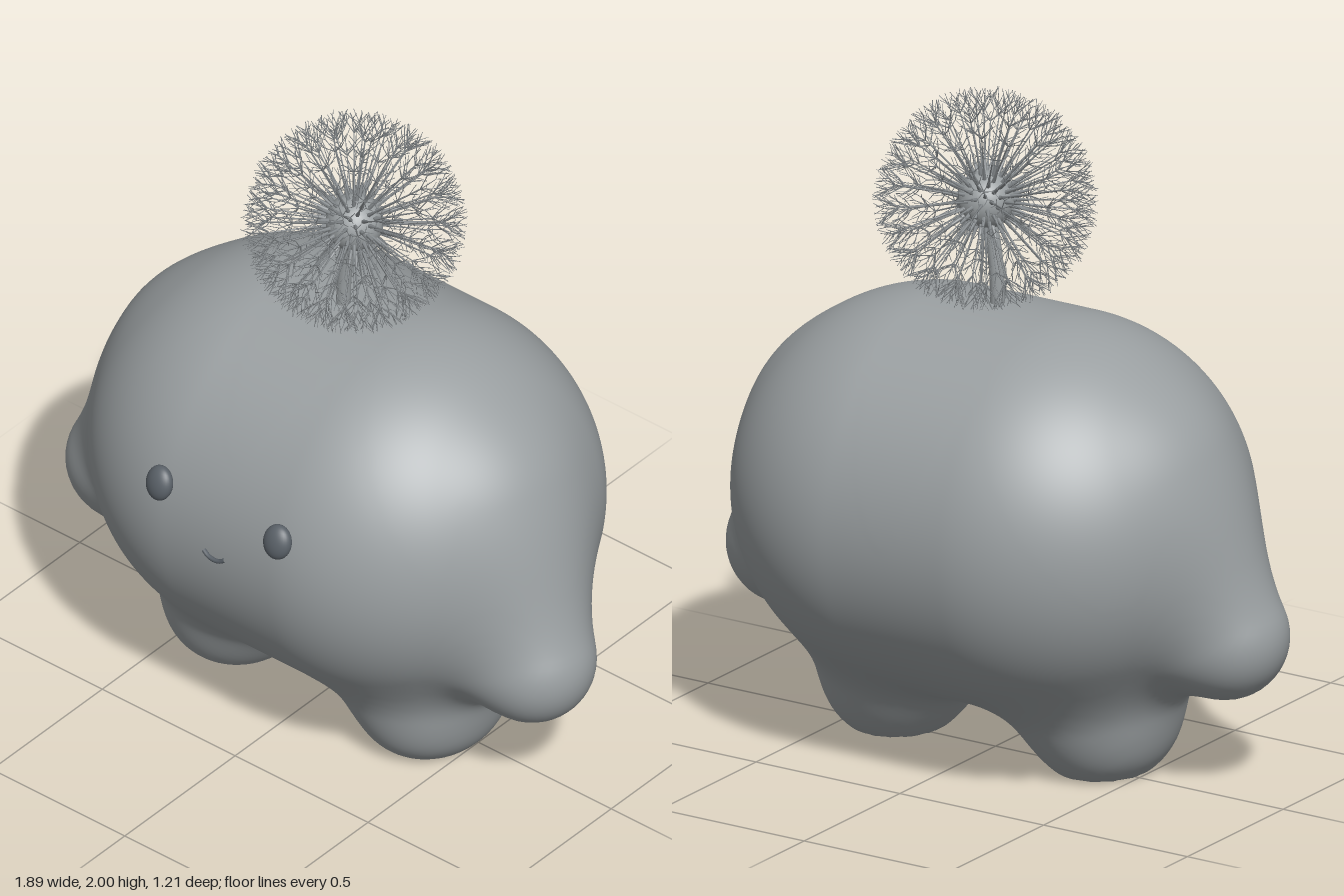
import * as THREE from 'three';
import { mergeGeometries, mergeVertices } from 'three/addons/utils/BufferGeometryUtils.js';

const V = (x, y, z) => new THREE.Vector3(x, y, z);
const bodyGrey = new THREE.MeshStandardMaterial({ name: 'body grey', color: 0x9a9fa1 });
const faceSlate = new THREE.MeshStandardMaterial({ name: 'face slate', color: 0x5a6168 });
const fluffGrey = new THREE.MeshStandardMaterial({ name: 'fluff grey', color: 0x8a8f92 });

function addMesh(parent, name, geometry, material) {
  const mesh = new THREE.Mesh(geometry, material);
  mesh.name = name;
  parent.add(mesh);
  return mesh;
}

// Distance to a capsule from a to b
function capsule(p, a, b, r) {
  const ab = b.clone().sub(a), ap = p.clone().sub(a);
  const t = THREE.MathUtils.clamp(ap.dot(ab) / ab.lengthSq(), 0, 1);
  return ap.addScaledVector(ab, -t).length() - r;
}

// Soft union of two distances
function blend(a, b, k) {
  const h = Math.max(k - Math.abs(a - b), 0) / k;
  return Math.min(a, b) - h * h * k / 4;
}

const torsoA = V(-0.2, 0.763, -0.008), torsoB = V(0.2, 0.763, -0.008);
const shoulder = V(0.53, 0.93, 0.0), hand = V(0.757, 0.467, 0.065);
const hip = V(0.31, 0.5, 0.01), foot = V(0.355, 0.175, 0.035);

// Torso, arms and legs melted together, cut flat at the soles
function bodyDistance(p) {
  const q = V(Math.abs(p.x), p.y, p.z);
  let d = capsule(p, torsoA, torsoB, 0.597);
  d = blend(d, capsule(q, shoulder, hand, 0.187), 0.16);
  const legPoint = V(q.x, q.y, foot.z + (q.z - foot.z) / 1.14);
  d = blend(d, capsule(legPoint, hip, foot, 0.222), 0.16);
  return Math.max(d, -p.y);
}

// Shrink a sphere onto the body along rays from its centre
function bodyGeometry() {
  let geo = new THREE.IcosahedronGeometry(1, 48);
  geo.deleteAttribute('uv');
  geo.deleteAttribute('normal');
  geo = mergeVertices(geo, 1e-5);
  const pos = geo.attributes.position, centre = V(0, 0.62, 0.03);
  const dir = V(0, 0, 0), p = V(0, 0, 0);
  for (let i = 0; i < pos.count; i++) {
    dir.fromBufferAttribute(pos, i).normalize();
    let r = 1.3;
    for (let s = 0; s < 90; s++) {
      const d = bodyDistance(p.copy(centre).addScaledVector(dir, r));
      if (d < 0.0003) break;
      r -= d * 0.8;
    }
    p.copy(centre).addScaledVector(dir, r);
    pos.setXYZ(i, p.x, Math.max(p.y, 0), p.z);
  }
  geo.computeVertexNormals();
  return geo;
}

// Thin tapered rod between two points
function rod(a, b, ra, rb, sides = 3) {
  const dir = b.clone().sub(a), len = dir.length();
  const geo = new THREE.CylinderGeometry(rb, ra, len, sides, 1, true);
  geo.applyQuaternion(new THREE.Quaternion().setFromUnitVectors(V(0, 1, 0), dir.divideScalar(len)));
  const mid = a.clone().add(b).multiplyScalar(0.5);
  return geo.translate(mid.x, mid.y, mid.z);
}

// Seed head: stalks on a ball, each ending in a forked tuft
function seedHead() {
  let seed = 7;
  const rand = () => (seed = (seed * 16807) % 2147483647) / 2147483647;
  const stalks = [], tufts = [], count = 140, branches = 6;
  for (let i = 0; i < count; i++) {
    const y = 1 - 2 * (i + 0.5) / count, ring = Math.sqrt(1 - y * y), turn = i * 2.39996;
    const n = V(ring * Math.cos(turn), y, ring * Math.sin(turn));
    const u = V(-n.z, 0, n.x).normalize(), w = n.clone().cross(u);
    const at = (r, side, angle) => n.clone().multiplyScalar(r)
      .addScaledVector(u, side * Math.cos(angle)).addScaledVector(w, side * Math.sin(angle));
    const tip = at(0.25 + 0.015 * rand(), 0, 0);
    stalks.push(rod(at(0.07, 0, 0), at(0.13, 0, 0), 0.008, 0.003, 5));
    stalks.push(rod(at(0.13, 0, 0), tip, 0.003, 0.002, 4));
    const spin = rand() * 6.28;
    for (let j = 0; j < branches; j++) {
      const a = spin + j * Math.PI * 2 / branches;
      const fork = at(0.285 + 0.015 * rand(), 0.028, a);
      tufts.push(rod(tip, fork, 0.0018, 0.0014));
      for (const s of [-0.35, 0.35]) {
        tufts.push(rod(fork, at(0.31 + 0.018 * rand(), 0.046, a + s), 0.0014, 0.001));
      }
    }
  }
  return { stalks: mergeGeometries(stalks), tufts: mergeGeometries(tufts) };
}

export function createModel() {
  const model = new THREE.Group();
  model.name = 'roundCreature';
  addMesh(model, 'body', bodyGeometry(), bodyGrey);

  // Face
  for (const side of [1, -1]) {
    const eye = addMesh(model, side > 0 ? 'leftEye' : 'rightEye', new THREE.SphereGeometry(1, 32, 20), faceSlate);
    eye.scale.set(0.046, 0.054, 0.03);
    eye.position.set(side * 0.222, 0.928, 0.575);
    eye.rotation.set(-0.28, side * 0.08, 0);
  }
  const smile = new THREE.CatmullRomCurve3([
    V(-0.04, 0.784, 0.594), V(-0.022, 0.772, 0.596), V(0, 0.768, 0.597), V(0.022, 0.772, 0.596), V(0.04, 0.784, 0.594),
  ]);
  addMesh(model, 'mouth', new THREE.TubeGeometry(smile, 20, 0.007, 8), faceSlate);

  // Flower on top of the head
  const flower = new THREE.Group();
  flower.name = 'flower';
  const stem = new THREE.CatmullRomCurve3([V(-0.005, 1.32, 0.005), V(0, 1.45, 0.006), V(0.015, 1.56, 0.006), V(0.04, 1.66, 0.005)]);
  addMesh(flower, 'stem', new THREE.TubeGeometry(stem, 16, 0.022, 12), bodyGrey);
  const head = new THREE.Group();
  head.name = 'seedHead';
  head.position.set(0.037, 1.668, 0.005);
  addMesh(head, 'seedCore', new THREE.SphereGeometry(0.085, 32, 20), bodyGrey);
  const { stalks, tufts } = seedHead();
  addMesh(head, 'seedStalks', stalks, fluffGrey);
  addMesh(head, 'seedTufts', tufts, fluffGrey);
  flower.add(head);
  model.add(flower);
  return model;
}
